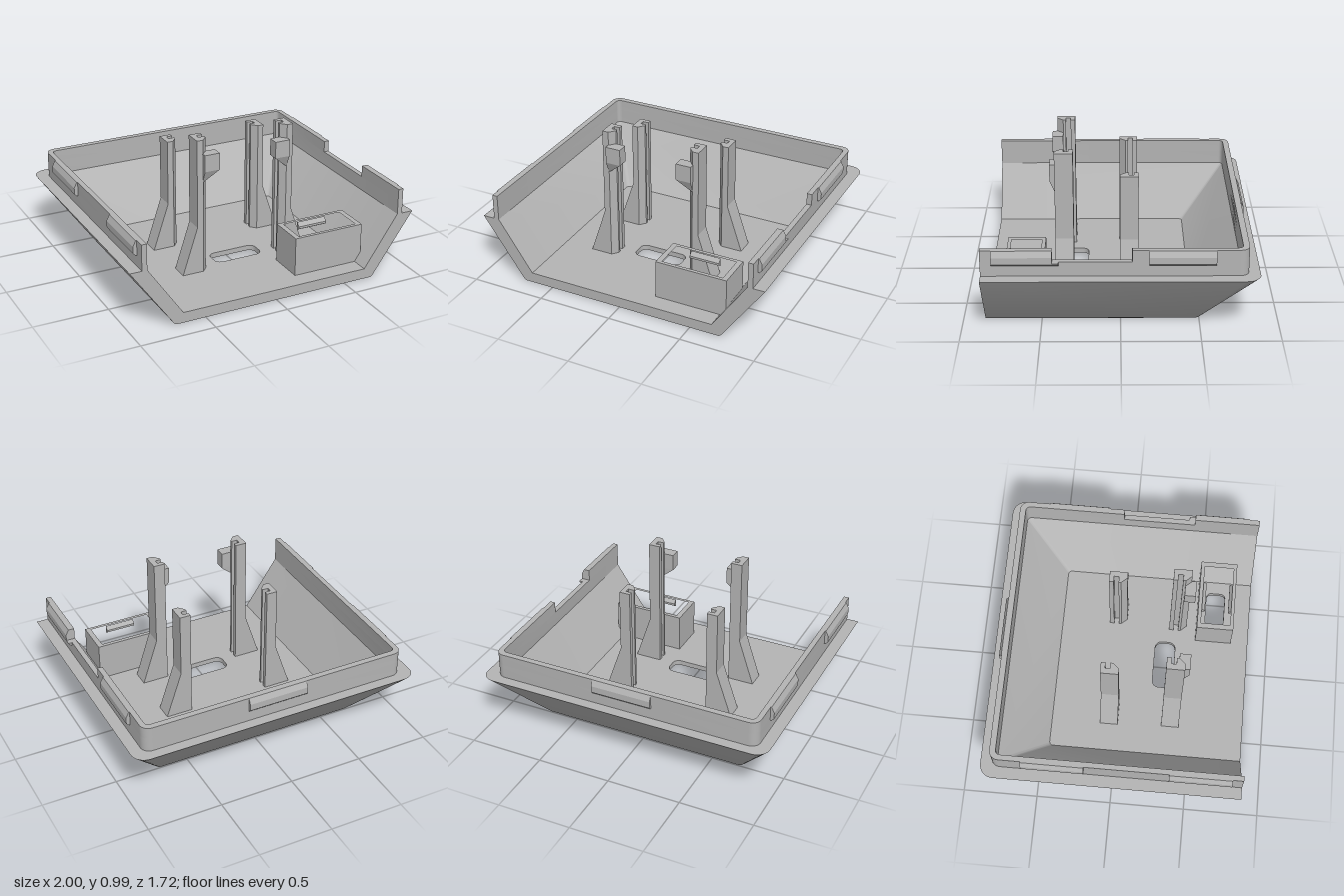
import * as THREE from 'three';
import { toCreasedNormals } from 'three/addons/utils/BufferGeometryUtils.js';
import { ConvexGeometry } from 'three/addons/geometries/ConvexGeometry.js';

const FRONT = 0.86;
const V = (x, y) => new THREE.Vector2(x, y);

// Rounded U path in plan: +x front end, around the back, to the -x front end
function uPath(hx, back, r) {
  const pts = [[hx, FRONT]], n = 8;
  for (let i = 0; i <= n; i++) {
    const a = (i / n) * Math.PI / 2;
    pts.push([hx - r + r * Math.cos(a), back + r - r * Math.sin(a)]);
  }
  return pts.concat(pts.map(([x, z]) => [-x, z]).reverse());
}

// Rounded rectangle in plan, centred on cx, cz
function roundRect(cx, cz, hx, hz, r) {
  const pts = [];
  [[1, 1], [-1, 1], [-1, -1], [1, -1]].forEach(([sx, sz], q) => {
    for (let i = 0; i <= 6; i++) {
      const a = (q + i / 6) * Math.PI / 2;
      pts.push([cx + sx * (hx - r) + r * Math.cos(a), cz + sz * (hz - r) + r * Math.sin(a)]);
    }
  });
  return pts;
}

// Extrude a plan outline of [x, z] points upward from y0 to y1
function plan(pts, y0, y1, holes = []) {
  const flip = (list) => list.map(([x, z]) => V(x, -z));
  const shape = new THREE.Shape(flip(pts));
  holes.forEach((h) => shape.holes.push(new THREE.Path(flip(h))));
  const g = new THREE.ExtrudeGeometry(shape, { depth: y1 - y0, bevelEnabled: false });
  return toCreasedNormals(g.rotateX(-Math.PI / 2).translate(0, y0, 0), 0.5);
}

// Extrude a profile of [x, y] points along z
function along(pts, z0, z1) {
  const shape = new THREE.Shape(pts.map(([x, y]) => V(x, y)));
  return new THREE.ExtrudeGeometry(shape, { depth: z1 - z0, bevelEnabled: false }).translate(0, 0, z0);
}

// Skin a series of equal-length plan paths placed at given heights
function loft(levels) {
  const pos = [], idx = [], n = levels[0].path.length;
  levels.forEach(({ path, y }) => path.forEach(([x, z]) => pos.push(x, y, z)));
  for (let i = 0; i < levels.length - 1; i++) {
    for (let j = 0; j < n - 1; j++) {
      const a = i * n + j, b = a + n;
      idx.push(a, a + 1, b, a + 1, b + 1, b);
    }
  }
  const g = new THREE.BufferGeometry();
  g.setAttribute('position', new THREE.Float32BufferAttribute(pos, 3));
  g.setIndex(idx);
  return toCreasedNormals(g, 0.5);
}

export function createModel() {
  const root = new THREE.Group();
  const grey = new THREE.MeshStandardMaterial({ color: 0xb4b4b4 });
  grey.name = 'grey plastic';
  const add = (name, geometry) => {
    const m = new THREE.Mesh(geometry, grey);
    m.name = name;
    root.add(m);
  };

  // Sloping tray walls, open at the front
  add('trayWalls', loft([
    { path: uPath(0.7, -0.49, 0.03), y: 0 },
    { path: uPath(0.715, -0.505, 0.03), y: 0.01 },
    { path: uPath(1, -0.86, 0.09), y: 0.415 },
    { path: uPath(0.885, -0.75, 0.02), y: 0.415 },
    { path: uPath(0.65, -0.45, 0.025), y: 0.07 },
  ]));

  // Cut end of the walls
  const half = [[0.7, 0], [0.715, 0.01], [1, 0.415], [0.885, 0.415], [0.65, 0.07]];
  const end = half.concat(half.map(([x, y]) => [-x, y]).reverse());
  add('frontEdge', new THREE.ShapeGeometry(new THREE.Shape(end.map(([x, y]) => V(x, y)))).translate(0, 0, FRONT));

  // Floor: lower layer has recesses and vents, upper layer only the through holes
  const vents = [-0.385, -0.288, -0.192, -0.095].map((z) => roundRect(-0.43, z, 0.19, 0.018, 0.017));
  add('floorUnderside', plan(uPath(0.7, -0.49, 0.03), 0, 0.035, [
    roundRect(0, 0.285, 0.25, 0.145, 0.08),
    roundRect(0.445, 0.615, 0.18, 0.115, 0.07),
    ...vents,
  ]));
  add('floor', plan(uPath(0.655, -0.455, 0.025), 0.035, 0.07, [
    roundRect(0, 0.285, 0.168, 0.07, 0.045),
    roundRect(0.445, 0.615, 0.12, 0.065, 0.03),
  ]));

  // Upright lip, lowered along part of the +x side
  const outer = uPath(0.92, -0.79, 0.06), inner = uPath(0.885, -0.75, 0.03).reverse();
  const lip = [...outer, ...inner];
  add('lipBase', plan(lip, 0.415, 0.51));
  add('lipTop', plan(lip.map(([x, z]) => [x, x > 0 && z === FRONT ? -0.07 : z]), 0.51, 0.588));
  add('lipTopFront', plan([[0.885, 0.42], [0.92, 0.42], [0.92, FRONT], [0.885, FRONT]], 0.51, 0.588));

  // Snap ridges on the lip
  const ridge = (s, base) => [[-0.005, 0.588], [0.006, 0.588], [0.025, 0.55], [0.025, 0.505], [0.01, 0.49], [-0.005, 0.49]]
    .map(([x, y]) => [s * (base + x), y]);
  for (const s of [1, -1]) {
    add('snapRidgeRear', along(ridge(s, 0.92), -0.585, -0.175));
    add('snapRidgeFront', along(ridge(s, 0.92), s > 0 ? 0.42 : 0.38, 0.79));
  }
  add('snapRidgeStub', along([[0.915, 0.49], [0.93, 0.49], [0.945, 0.505], [0.945, 0.51], [0.915, 0.51]], 0.38, 0.42));
  add('snapRidgeBack', along(ridge(1, 0.785), -0.205, 0.205).rotateY(Math.PI / 2));

  // Slotted posts with flared feet; front pair carries hooks
  for (const s of [1, -1]) {
    const post = (name, xi, xo, foot, z, top) => {
      const section = [[xo, 0], [xi, 0], [xi, 0.03], [xi + 0.04, 0.03], [xi + 0.04, 0.063],
        [xi, 0.063], [xi, 0.08], [xi + 0.035, 0.12], [xo, 0.12]];
      add(name, plan(section.map(([x, dz]) => [s * x, z + dz]), 0.06, top));
      const wedge = [[xo - 0.01, 0.06], [foot, 0.06], [foot, 0.07], [xo, 0.39], [xo - 0.01, 0.39]];
      add(name + 'Foot', along(wedge.map(([x, y]) => [s * x, y]), z, z + 0.12));
    };
    post('rearPost', 0.28, 0.355, 0.463, -0.118, 0.83);
    post('frontPost', 0.265, 0.342, 0.447, 0.302, 0.985);
    const hook = [];
    for (const y of [0.78, 0.892])
      for (const x of [0.2, 0.303])
        for (const z of [0.382, 0.455]) hook.push(new THREE.Vector3(s * x, y, z));
    for (const x of [0.295, 0.303])
      for (const z of [0.385, 0.42]) hook.push(new THREE.Vector3(s * x, 0.7, z));
    add('hook', new ConvexGeometry(hook));
  }

  // Open socket box with two retaining tabs
  const rect = (x0, x1, z0, z1) => [[x0, z0], [x1, z0], [x1, z1], [x0, z1]];
  add('socketBox', plan(rect(0.2, 0.693, 0.49, 0.74), 0.065, 0.332, [rect(0.235, 0.658, 0.515, 0.717)]));
  for (const [wall, tip] of [[0.512, 0.537], [0.72, 0.698]]) {
    const pts = [];
    for (const x of [0.34, 0.545])
      for (const [z, y] of [[wall, 0.325], [wall, 0.27], [tip, 0.3], [tip, 0.285]]) pts.push(new THREE.Vector3(x, y, z));
    add('socketTab', new ConvexGeometry(pts));
  }
  return root;
}
